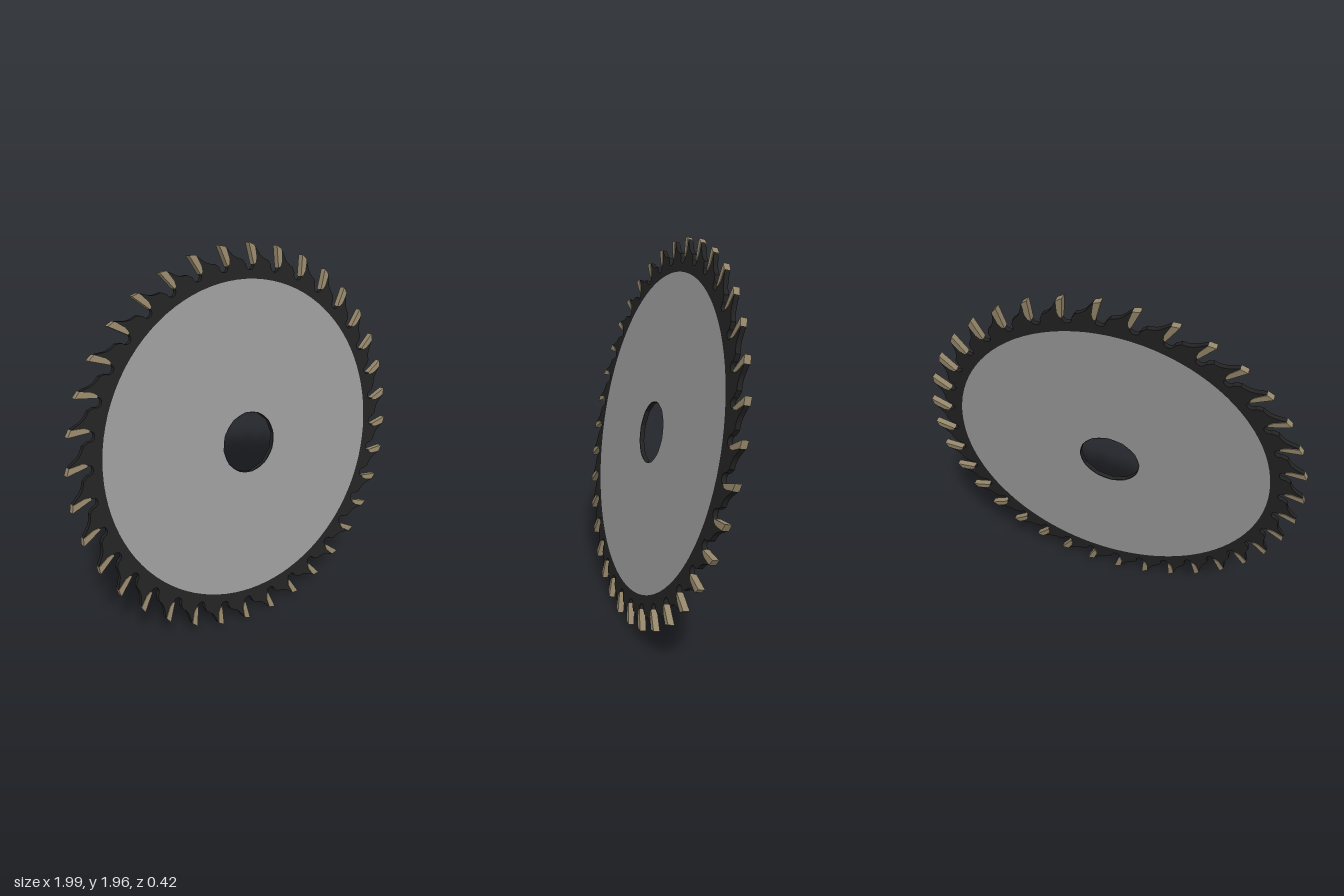
import * as THREE from 'three';

const TEETH = 36;
const BODY = 0.024;   // steel thickness
const TIP = 0.032;    // carbide thickness
const HOLE = 0.16;

export function createModel() {
  const steel = new THREE.MeshStandardMaterial({ color: 0x999999 });
  steel.name = 'grey steel';
  const black = new THREE.MeshStandardMaterial({ color: 0x222222 });
  black.name = 'black coating';
  const carbide = new THREE.MeshStandardMaterial({ color: 0x94866a });
  carbide.name = 'tan carbide';

  const model = new THREE.Group();
  const blade = new THREE.Group();
  blade.name = 'blade';
  model.add(blade);

  // Toothed body: each tooth is drawn upright as (forward offset, radius) and turned by its angle
  const outline = new THREE.Shape();
  for (let i = 0; i < TEETH; i++) {
    const a = (i / TEETH) * Math.PI * 2;
    const c = Math.cos(a), s = Math.sin(a);
    const at = (t, r) => [r * c - t * s, r * s + t * c];
    const line = (t, r) => outline.lineTo(...at(t, r));
    const curve = (t1, r1, t2, r2) => outline.quadraticCurveTo(...at(t1, r1), ...at(t2, r2));
    // sloping back
    if (i === 0) outline.moveTo(...at(-0.095, 0.912));
    else line(-0.095, 0.912);
    curve(-0.055, 0.922, -0.035, 0.948);
    line(-0.006, 0.984);
    // leading edge
    line(0.008, 0.975);
    line(-0.006, 0.892);
    // round gullet
    curve(-0.006, 0.866, 0.018, 0.866);
    curve(0.04, 0.867, 0.043, 0.893);
  }
  outline.closePath();
  const bore = new THREE.Path();
  bore.absarc(0, 0, HOLE, 0, Math.PI * 2, true);
  outline.holes.push(bore);
  const bodyGeo = new THREE.ExtrudeGeometry(outline, { depth: BODY, bevelEnabled: false, curveSegments: 6 });
  // Fine round bore wall is covered by a smooth sleeve below
  bodyGeo.translate(0, 0, -BODY / 2);
  const body = new THREE.Mesh(bodyGeo, black);
  body.name = 'toothedBody';
  blade.add(body);

  // Bore wall
  const wallMat = black.clone();
  wallMat.side = THREE.DoubleSide;
  const wall = new THREE.Mesh(
    new THREE.CylinderGeometry(HOLE, HOLE, BODY, 64, 1, true).rotateX(Math.PI / 2), wallMat);
  wall.name = 'boreWall';
  blade.add(wall);

  // Bare steel faces on both sides
  for (const side of [1, -1]) {
    const face = new THREE.Mesh(new THREE.RingGeometry(HOLE, 0.823, 96), steel);
    face.name = side > 0 ? 'frontFace' : 'backFace';
    face.position.z = side * (BODY / 2 + 0.001);
    if (side < 0) face.rotation.y = Math.PI;
    blade.add(face);
  }

  // Carbide tips, slightly wider than the body
  const tipShape = new THREE.Shape([
    [0.995, 0.03], [0.984, -0.006], [0.925, -0.018], [0.9, -0.014], [0.892, -0.002],
  ].map(([r, t]) => new THREE.Vector2(r, t)).reverse());
  const tipGeo = new THREE.ExtrudeGeometry(tipShape, { depth: TIP, bevelEnabled: false });
  tipGeo.translate(0, 0, -TIP / 2);
  const tips = new THREE.Group();
  tips.name = 'carbideTips';
  for (let i = 0; i < TEETH; i++) {
    const tip = new THREE.Mesh(tipGeo, carbide);
    tip.name = 'carbideTip';
    tip.rotation.z = (i / TEETH) * Math.PI * 2;
    tips.add(tip);
  }
  blade.add(tips);

  // Lean the blade back and stand it on the ground
  blade.rotation.x = -0.198;
  model.updateMatrixWorld(true);
  blade.position.y = -new THREE.Box3().setFromObject(model, true).min.y;
  return model;
}
